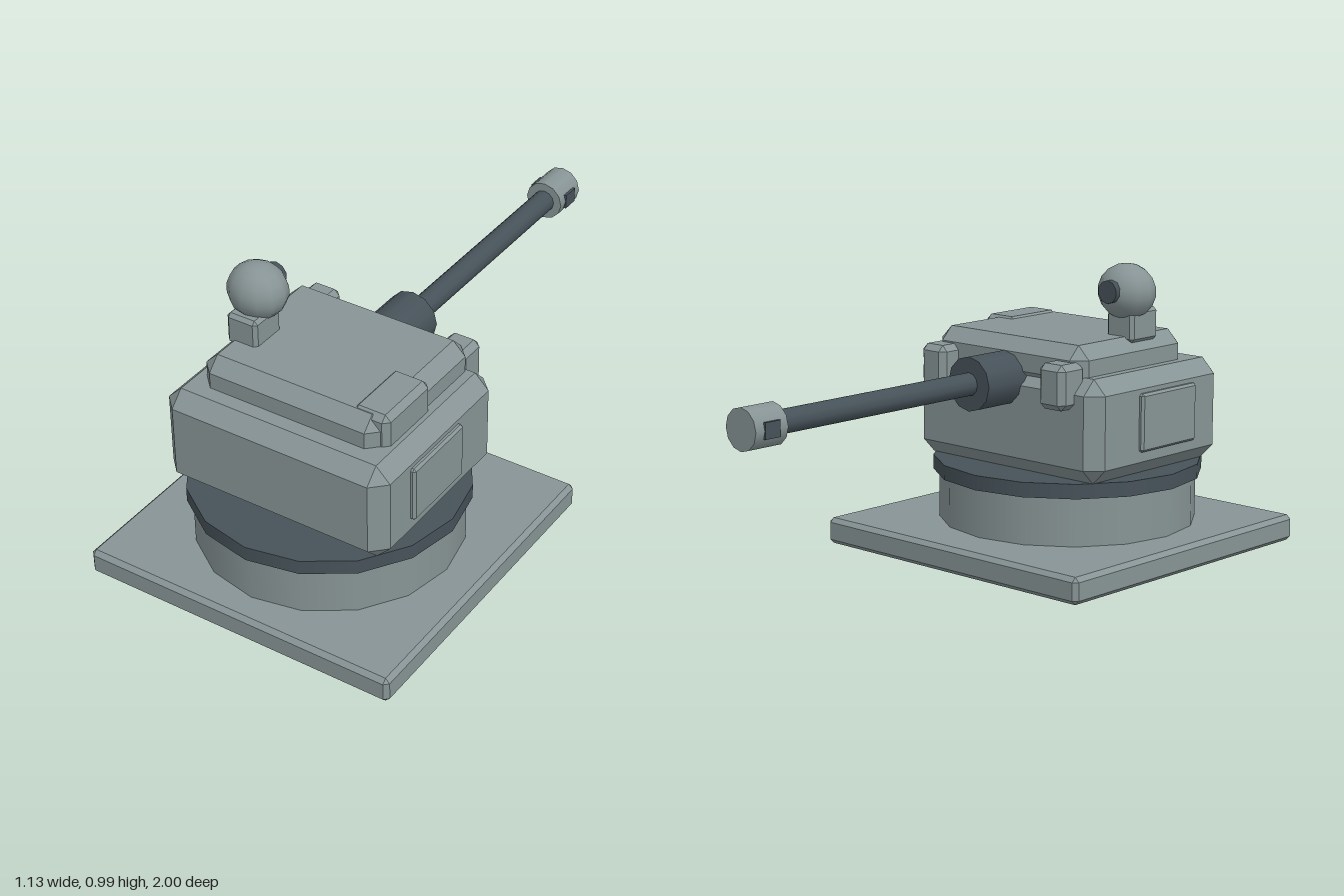
import * as THREE from 'three';
import { ConvexGeometry } from 'three/addons/geometries/ConvexGeometry.js';

const armour = new THREE.MeshStandardMaterial({ color: 0x879495 });
armour.name = 'armour grey';
const steel = new THREE.MeshStandardMaterial({ color: 0x465259 });
steel.name = 'dark steel';

export function createModel() {
  const group = new THREE.Group();
  group.name = 'gunTurret';

  const add = (name, geometry, material, x = 0, y = 0, z = 0) => {
    const mesh = new THREE.Mesh(geometry, material);
    mesh.name = name;
    mesh.position.set(x, y, z);
    group.add(mesh);
    return mesh;
  };

  // Box with every edge chamfered by c, given by its extents
  const chamferBox = (name, [x0, x1], [y0, y1], [z0, z1], c, material = armour) => {
    const half = [(x1 - x0) / 2, (y1 - y0) / 2, (z1 - z0) / 2];
    const points = [];
    for (const sx of [-1, 1]) for (const sy of [-1, 1]) for (const sz of [-1, 1]) {
      for (let face = 0; face < 3; face++) {
        const h = half.map((v, axis) => (axis === face ? v : v - c));
        points.push(new THREE.Vector3(sx * h[0], sy * h[1], sz * h[2]));
      }
    }
    return add(name, new ConvexGeometry(points), material, (x0 + x1) / 2, (y0 + y1) / 2, (z0 + z1) / 2);
  };

  // Cylinder lying along z between two z values
  const barrelPart = (name, radius, z0, z1, y, x, material, sides = 12) => {
    const geometry = new THREE.CylinderGeometry(radius, radius, z1 - z0, sides);
    geometry.rotateX(Math.PI / 2);
    return add(name, geometry, material, x, y, (z0 + z1) / 2);
  };

  // Base and turning ring
  chamferBox('basePlate', [-0.565, 0.565], [0, 0.09], [-0.135, 1], 0.015);
  add('drum', new THREE.CylinderGeometry(0.44, 0.44, 0.17, 16), armour, 0, 0.17, 0.465);
  add('turningRing', new THREE.CylinderGeometry(0.46, 0.46, 0.05, 16), steel, 0, 0.28, 0.465);

  // Turret body and roof
  chamferBox('turretBody', [-0.41, 0.41], [0.305, 0.65], [0.13, 0.79], 0.05);
  chamferBox('roof', [-0.33, 0.33], [0.6, 0.75], [0.145, 0.69], 0.045);
  chamferBox('hatch', [0.21, 0.345], [0.63, 0.757], [0.41, 0.655], 0.02);

  // Side panels and rear blocks on both sides
  for (const s of [-1, 1]) {
    const side = s > 0 ? 'left' : 'right';
    const span = (a, b) => (s > 0 ? [a, b] : [-b, -a]);
    chamferBox(side + 'SidePanel', span(0.395, 0.426), [0.39, 0.585], [0.35, 0.63], 0.008);
    chamferBox(side + 'GunBlock', span(0.21, 0.32), [0.55, 0.7], [0.07, 0.19], 0.02);
  }

  // Gun, pointing to the rear
  const gunY = 0.615;
  barrelPart('gunSleeve', 0.091, -0.025, 0.2, gunY, 0, steel);
  barrelPart('gunBarrel', 0.039, -0.9, 0, gunY, 0, steel);
  barrelPart('muzzle', 0.068, -1, -0.872, gunY, 0, armour);
  for (const s of [-1, 1]) {
    add(s > 0 ? 'leftVent' : 'rightVent', new THREE.BoxGeometry(0.009, 0.052, 0.06), steel, s * 0.066, gunY, -0.935);
  }

  // Sensor post, ball and lens
  chamferBox('sensorPost', [-0.317, -0.203], [0.73, 0.84], [0.42, 0.555], 0.012);
  const ball = new THREE.SphereGeometry(0.102, 12, 9);
  ball.scale(1, 0.92, 0.89);
  add('sensorBall', ball, armour, -0.26, 0.895, 0.458);
  barrelPart('sensorLens', 0.039, 0.358, 0.42, 0.902, -0.26, steel, 10);

  return group;
}
